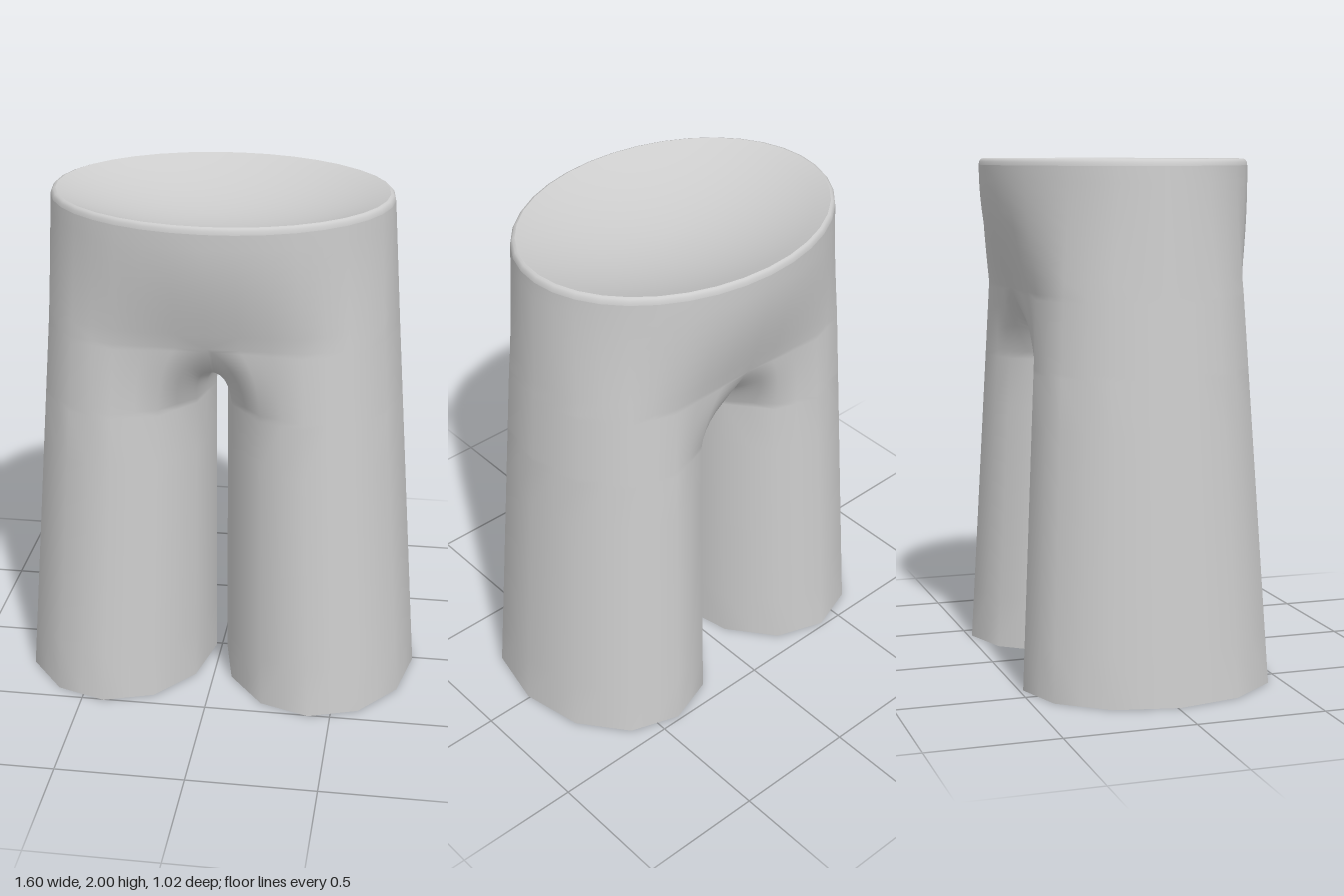
import * as THREE from 'three';
import { mergeGeometries, mergeVertices } from 'three/addons/utils/BufferGeometryUtils.js';

const LEG_COLS = 24;
const WAIST_COLS = 36;
const KNEE = 1.2;    // where the legs start blending into the hips
const HIP = 1.5;     // where the two legs have become one body
const WAIST = 1.975;
const CORNER = 0.75; // share of a half turn that runs up to the hips; the rest meets the crotch seam

// Unit point on a 12-sided polygon at turn angle a
function polygon(a) {
  const step = Math.PI / 6;
  const k = Math.floor(a / step + 1e-6);
  const f = a / step - k;
  const a0 = k * step, a1 = a0 + step;
  return [
    Math.cos(a0) * (1 - f) + Math.cos(a1) * f,
    Math.sin(a0) * (1 - f) + Math.sin(a1) * f,
  ];
}

// Tapered leg tube with a straight inner side
function legPoint(a, y) {
  const outer = 0.802 - 0.074 * y;
  const [c, s] = polygon(a);
  const mid = (outer + 0.022) / 2, rx = (outer - 0.022) / 2;
  return new THREE.Vector3(mid + rx * c, y, (0.495 - 0.057 * y) * s + 0.01 * (1 - y / HIP));
}

// Half of the hip section: the outer half of a leg, then straight to the middle
function hipPoint(turn) {
  const t = Math.abs(turn);
  const p = legPoint(Math.sign(turn) * Math.min(t, 0.5) * Math.PI, HIP);
  if (t > 0.5) p.x *= (CORNER - t) / (CORNER - 0.5);
  return p;
}

function waistPoint(a, y, scale = 1) {
  return new THREE.Vector3(0.658 * scale * Math.cos(a), y, 0.512 * scale * Math.sin(a));
}

// Centre seam from the hips under the crotch, as (z, y)
const seam = new THREE.SplineCurve([
  [hipPoint(CORNER).z, HIP], [0.37, 1.42], [0.28, 1.35], [0.15, 1.31], [0, 1.295],
].map(([z, y]) => new THREE.Vector2(z, y)));

// One leg: straight tube, then a curve to the hips or the seam
function thighPoint(u, v) {
  const turn = u * 2 - 1; // -1..1, 0 is the outer side
  const a = turn * Math.PI;
  const t = Math.abs(turn);
  if (v < 0.3) return legPoint(a, (v / 0.3) * KNEE);
  const start = legPoint(a, KNEE);
  const s = Math.max(0, (t - CORNER) / (1 - CORNER));
  let end = hipPoint(turn);
  if (s > 0) {
    const p = seam.getPointAt(s);
    end = new THREE.Vector3(0, p.y, p.x * Math.sign(turn));
  }
  const inward = THREE.MathUtils.clamp((t - 0.5) / (CORNER - 0.5), 0, 1);
  const pulled = new THREE.Vector3(start.x, end.y - 0.08 * Math.max(0, 1 - 3 * s), end.z);
  const control = legPoint(a, (KNEE + HIP) / 2).lerp(pulled, inward);
  return new THREE.QuadraticBezierCurve3(start, control, end).getPoint((v - 0.3) / 0.7);
}

// Half of the torso: straight sides, front and back swelling out to the oval waist
function torsoPoint(u, v) {
  const turn = (u * 2 - 1) * CORNER;
  const low = hipPoint(turn);
  const high = waistPoint((u * 2 - 1) * Math.PI / 2, WAIST);
  const p = low.clone().lerp(high, v);
  p.z = THREE.MathUtils.lerp(low.z, high.z, Math.sin(v * Math.PI / 2));
  return p;
}

// Grid surface from a rule; flip mirrors it across x
function grid(rule, cols, rows, flip = false) {
  const pos = [], index = [];
  for (let j = 0; j <= rows; j++) {
    for (let i = 0; i <= cols; i++) {
      const p = rule(i / cols, j / rows);
      pos.push(flip ? -p.x : p.x, p.y, p.z);
    }
  }
  for (let j = 0; j < rows; j++) {
    for (let i = 0; i < cols; i++) {
      const a = j * (cols + 1) + i, b = a + 1, c = a + cols + 1, d = c + 1;
      if (flip) index.push(a, b, c, b, d, c);
      else index.push(a, c, b, b, c, d);
    }
  }
  const g = new THREE.BufferGeometry();
  g.setAttribute('position', new THREE.Float32BufferAttribute(pos, 3));
  g.setIndex(index);
  return g;
}

// Weld the pieces and shade them as one surface
function smooth(parts) {
  const g = mergeVertices(mergeGeometries(parts), 1e-4);
  g.computeVertexNormals();
  return g;
}

export function createModel() {
  const group = new THREE.Group();
  const fabric = new THREE.MeshStandardMaterial({ color: 0xcccccc, side: THREE.DoubleSide });
  fabric.name = 'grey fabric';
  const add = (name, parts) => {
    const mesh = new THREE.Mesh(smooth(parts), fabric);
    mesh.name = name;
    group.add(mesh);
  };

  // Legs, open at the hems, and hips in one smooth skin
  add('trousers', [false, true].flatMap((flip) => [
    grid(thighPoint, LEG_COLS, 20, flip),
    grid(torsoPoint, LEG_COLS * CORNER, 8, flip),
  ]));

  // Narrow bevel around the waist
  const angle = (u) => (u * 2 - 1) * Math.PI;
  add('waistRim', [grid((u, v) => {
    const b = v * Math.PI / 2;
    return waistPoint(angle(u), WAIST + (2 - WAIST) * Math.sin(b), 1 - 0.03 * (1 - Math.cos(b)));
  }, WAIST_COLS, 3)]);

  // Shallow dish closing the waist
  add('waistDish', [grid((u, v) => {
    const s = 1 - v;
    return waistPoint(angle(u), 2 - 0.12 * (1 - s * s), 0.97 * s);
  }, WAIST_COLS, 10)]);
  return group;
}
